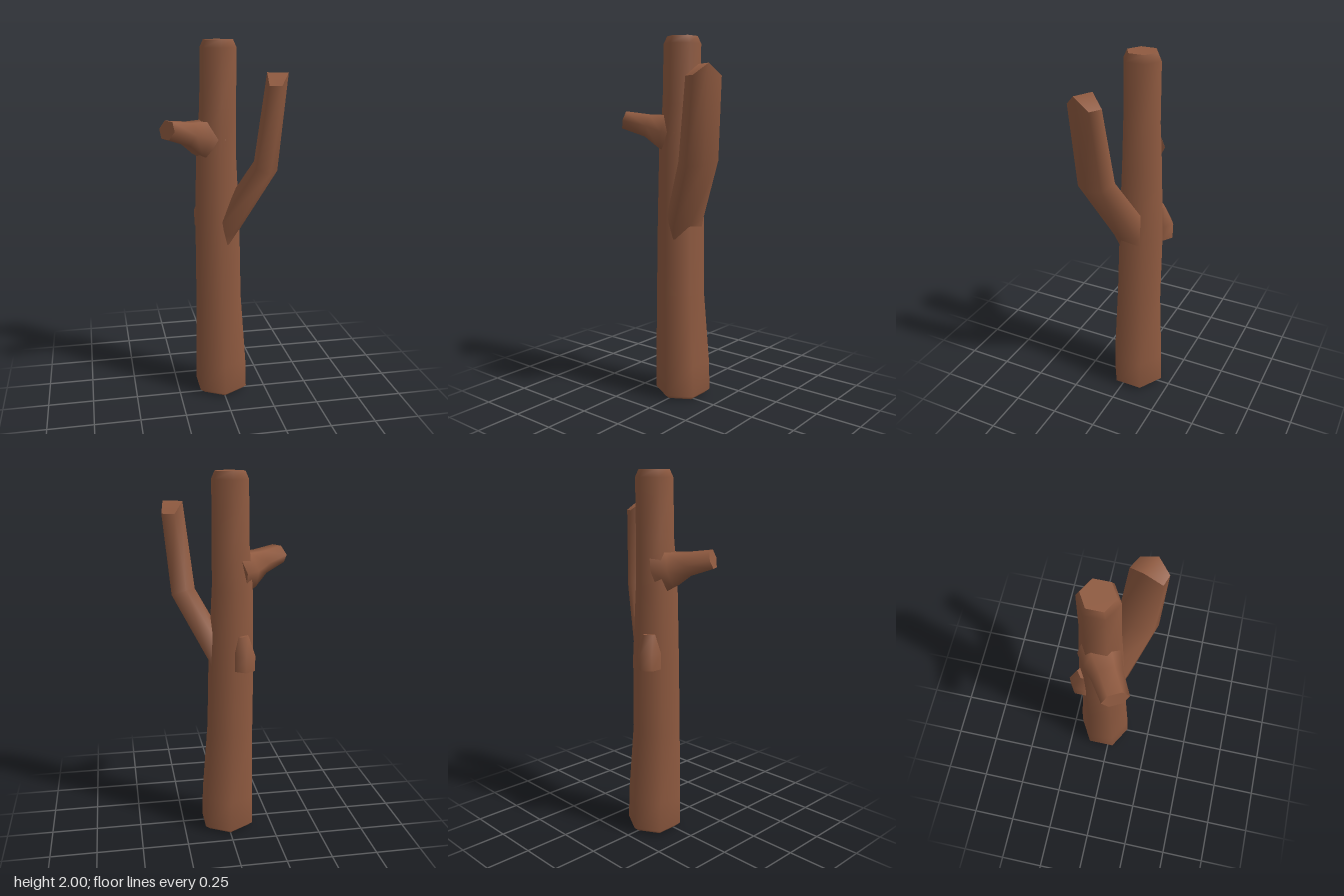
import * as THREE from 'three';

const SIDES = 6;
const UP = new THREE.Vector3(0, 1, 0);

// Six-sided ring around a point, facing along dir; u is its first axis
function hexRing(center, dir, u, rU, rV = rU) {
  const v = dir.clone().cross(u);
  return Array.from({ length: SIDES }, (_, i) => {
    const a = (i / SIDES) * Math.PI * 2;
    return new THREE.Vector3(...center)
      .addScaledVector(u, Math.cos(a) * rU)
      .addScaledVector(v, Math.sin(a) * rV);
  });
}

// Smooth skin over the rings, closed by a separate fan at each end
function loft(name, rings, material) {
  const points = rings.flat();
  const index = [];
  for (let r = 0; r < rings.length - 1; r++) {
    for (let i = 0; i < SIDES; i++) {
      const a = r * SIDES + i;
      const b = r * SIDES + ((i + 1) % SIDES);
      index.push(a, b, b + SIDES, a, b + SIDES, a + SIDES);
    }
  }
  const start = points.length;
  points.push(...rings[0], ...rings[rings.length - 1]);
  for (let i = 1; i < SIDES - 1; i++) {
    const end = start + SIDES;
    index.push(start, start + i + 1, start + i, end, end + i, end + i + 1);
  }
  const geometry = new THREE.BufferGeometry().setFromPoints(points);
  geometry.setIndex(index);
  geometry.computeVertexNormals();
  const mesh = new THREE.Mesh(geometry, material);
  mesh.name = name;
  return mesh;
}

export function createModel() {
  const bark = new THREE.MeshStandardMaterial({ color: 0x8f5a40 });
  bark.name = 'bark brown';
  const group = new THREE.Group();
  group.name = 'branchingTrunk';
  const zAxis = new THREE.Vector3(0, 0, 1);

  // Trunk: x, y, z, radius
  const trunk = [
    [0, 0.005, -0.045, 0.125], [0, 0.03, -0.045, 0.155], [-0.002, 0.2, -0.045, 0.152],
    [-0.016, 0.6, -0.042, 0.134], [-0.02, 1.0, -0.05, 0.13], [-0.027, 1.4, -0.05, 0.115],
    [-0.017, 1.65, -0.052, 0.104], [-0.014, 1.96, -0.055, 0.102], [-0.014, 2.0, -0.055, 0.083],
  ].map(([x, y, z, r]) => hexRing([x, y, z], UP, zAxis, r));
  group.add(loft('trunk', trunk, bark));

  // Long bent branch with an uneven section and a ridged tip
  const section = [[-0.05, -0.025], [-0.06, 0.07], [0, 0.09], [0.05, 0.025], [0.065, -0.065], [0, -0.1]];
  const slice = (cx, cy, cz, scale, tilt) => section.map(([x, z]) =>
    new THREE.Vector3(cx + x * scale, cy - (x + z) * tilt, cz + z * scale));
  const tip = section.map(([x, z], i) =>
    new THREE.Vector3(0.262 + x, i % 3 === 0 ? 1.84 : 1.78, 0.126 + z));
  group.add(loft('longBranch', [
    slice(0.02, 0.96, -0.03, 1.05, 0.5),
    slice(0.035, 1.02, -0.015, 1.12, 0.5),
    slice(0.213, 1.355, 0.1, 1.13, 0.3),
    tip,
  ], bark));

  // Short side branch
  const out = new THREE.Vector3(-0.86, 0.24, 0.45).normalize();
  const side = UP.clone().cross(out).normalize();
  group.add(loft('shortBranch', [
    hexRing([-0.04, 1.49, -0.055], out, side, 0.11, 0.15),
    hexRing([-0.115, 1.495, -0.02], out, side, 0.098, 0.105),
    hexRing([-0.19, 1.525, 0.02], out, side, 0.08, 0.07),
    hexRing([-0.305, 1.555, 0.083], out, side, 0.07, 0.054),
  ], bark));

  // Cut knot on the back
  group.add(loft('knot', [
    hexRing([-0.075, 0.975, -0.148], UP, zAxis, 0.068, 0.062),
    hexRing([-0.075, 1.06, -0.15], UP, zAxis, 0.068, 0.062),
    hexRing([-0.06, 1.16, -0.12], UP, zAxis, 0.055, 0.045),
  ], bark));

  return group;
}
